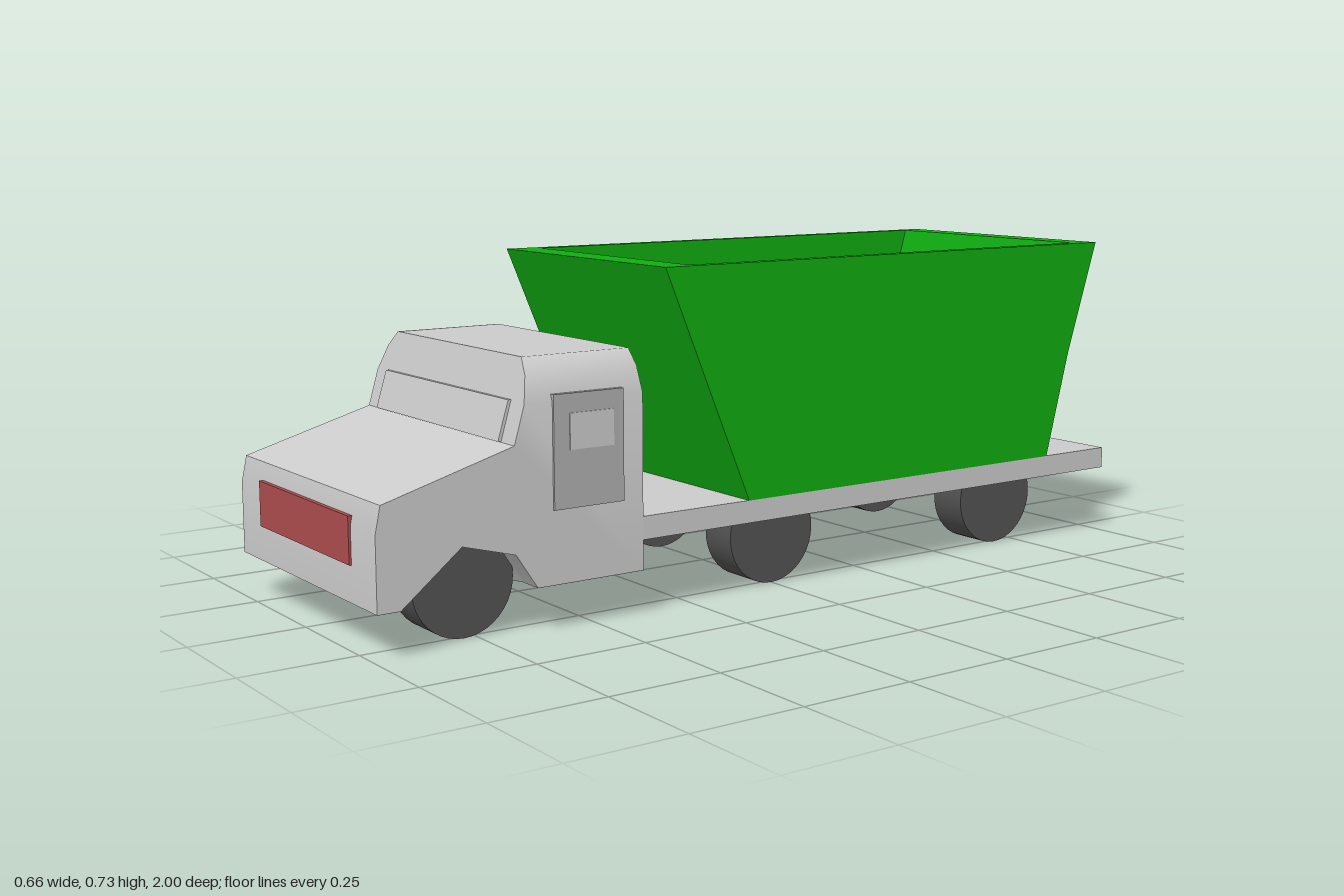
import * as THREE from 'three';
import { toCreasedNormals } from 'three/addons/utils/BufferGeometryUtils.js';

const paint = (color) => new THREE.MeshStandardMaterial({ color });
const grey = paint(0xcccccc);
const green = paint(0x10ad10);
const red = paint(0xad4d4d);
const tyre = paint(0x535353);
const doorGrey = paint(0xb0b0b0);

// Side profile of [z, y] points, extruded across x and centred on x
function slab(name, profile, x, width, material) {
  const shape = new THREE.Shape(profile.map(([z, y]) => new THREE.Vector2(-z, y)));
  const geometry = new THREE.ExtrudeGeometry(shape, { depth: width, bevelEnabled: false });
  geometry.rotateY(Math.PI / 2).translate(x - width / 2, 0, 0);
  const mesh = new THREE.Mesh(geometry, material);
  mesh.name = name;
  return mesh;
}

// Rectangular profile between two z and two y values
const rect = (z0, z1, y0, y1) => [[z0, y0], [z1, y0], [z1, y1], [z0, y1]];

// Cab outline at a given x: the roof drops at the sides, wheel arches fade out inwards
function cabProfile(x) {
  const a = Math.abs(x);
  const roof = a <= 0.27 ? 0.558 : a <= 0.3 ? 0.525 : 0.47;
  const arch = a >= 0.26 ? 1 : 0;
  return [
    [0.995, 0.095], [0.995, 0.25], [0.983, 0.307], [0.69, 0.39],
    [0.69 - 0.294 * (roof - 0.39), roof], [0.385, roof], [0.385, 0.095],
    [0.64, 0.095], [0.69, 0.095 + 0.075 * arch], [0.81, 0.095 + 0.108 * arch], [0.945, 0.095],
  ];
}

function cabGeometry() {
  const half = [0.15, 0.26, 0.27, 0.3, 0.323];
  const stations = [...half.map((x) => -x).reverse(), ...half];
  const rings = stations.map(cabProfile);
  const n = rings[0].length;
  const positions = [];
  const index = [];
  stations.forEach((x, i) => rings[i].forEach(([z, y]) => positions.push(x, y, z)));
  for (let i = 0; i < stations.length - 1; i++) {
    for (let j = 0; j < n; j++) {
      const a = i * n + j, b = i * n + ((j + 1) % n);
      index.push(a, a + n, b, b, a + n, b + n);
    }
  }
  // Flat sides
  const outline = rings[0].map(([z, y]) => new THREE.Vector2(-z, y));
  const last = (stations.length - 1) * n;
  for (const tri of THREE.ShapeUtils.triangulateShape(outline, [])) {
    const ccw = THREE.ShapeUtils.area(tri.map((k) => outline[k])) > 0;
    const [p, q, r] = ccw ? tri : [tri[0], tri[2], tri[1]];
    index.push(last + p, last + q, last + r, p, r, q);
  }
  const geometry = new THREE.BufferGeometry();
  geometry.setAttribute('position', new THREE.Float32BufferAttribute(positions, 3));
  geometry.setIndex(index);
  return toCreasedNormals(geometry, 0.9);
}

export function createModel() {
  const truck = new THREE.Group();
  truck.name = 'truck';

  const cab = new THREE.Mesh(cabGeometry(), grey);
  cab.name = 'cab';
  truck.add(cab);

  // Flat bed behind the cab
  truck.add(slab('bed', rect(0.385, -1, 0.16, 0.21), 0, 0.646, grey));

  // Open skip: front, floor and back in one folded profile, then two side walls
  const outer = [[0.328, 0.725], [0.11, 0.21], [-0.8, 0.21], [-0.865, 0.46], [-0.95, 0.725]];
  const inner = [[-0.89, 0.725], [-0.815, 0.46], [-0.755, 0.265], [0.063, 0.265], [0.252, 0.725]];
  const skip = new THREE.Group();
  skip.name = 'skip';
  skip.add(slab('skipFloorAndEnds', [...outer, ...inner], 0, 0.6, green));
  for (const s of [1, -1]) skip.add(slab('skipSide', outer, s * 0.3125, 0.025, green));
  truck.add(skip);

  // Grille and windscreen
  truck.add(slab('grille', rect(0.98, 1, 0.172, 0.27), 0, 0.432, red));
  truck.add(slab('windscreen',
    [[0.68, 0.392], [0.697, 0.392], [0.672, 0.474], [0.655, 0.474]], 0, 0.54, grey));

  // Doors with windows
  for (const s of [1, -1]) {
    truck.add(slab('door', rect(0.602, 0.435, 0.25, 0.485), s * 0.319, 0.018, doorGrey));
    truck.add(slab('doorWindow', rect(0.565, 0.46, 0.37, 0.445), s * 0.32, 0.02, grey));
  }

  // Three axles of wheels
  const wheelGeometry = new THREE.CylinderGeometry(0.114, 0.114, 0.092, 40).rotateZ(Math.PI / 2);
  for (const z of [0.777, 0, -0.69]) {
    for (const s of [1, -1]) {
      const wheel = new THREE.Mesh(wheelGeometry, tyre);
      wheel.name = 'wheel';
      wheel.position.set(s * 0.216, 0.114, z);
      truck.add(wheel);
    }
  }
  return truck;
}
